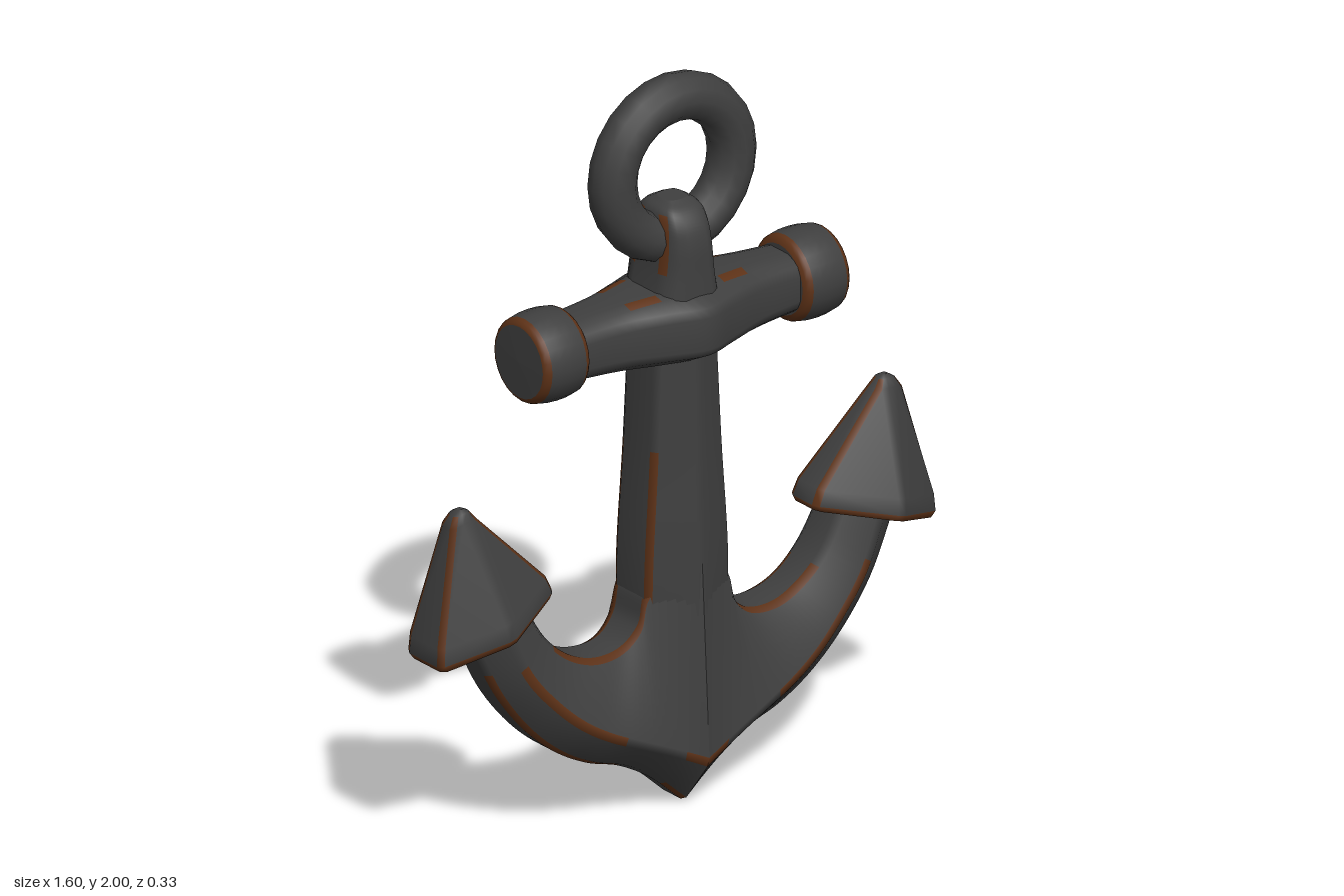
import * as THREE from 'three';

const iron = new THREE.MeshStandardMaterial({ color: 0x3f3f3f });
iron.name = 'dark iron';
const rust = new THREE.MeshStandardMaterial({ color: 0x5e3217 });
rust.name = 'rust';

// Lofts a closed section whose corners follow rails. Each corner is bevelled,
// and paint(corner, t) tells where the bevel is rusty; band(t) rusts a whole ring.
function loft(name, rails, { steps = 24, bevel = 0.015, smooth = true, paint = () => false, band = () => false }) {
  const curves = rails.map((r) => {
    const pts = r.map((p) => new THREE.Vector3(...p));
    return smooth ? new THREE.CatmullRomCurve3(pts, false, 'centripetal') : pts;
  });
  const n = smooth ? steps : rails[0].length - 1;
  const c = rails.length, m = c * 2;
  const pos = [], plain = [], rusty = [];
  for (let i = 0; i <= n; i++) {
    const corners = curves.map((q) => (smooth ? q.getPoint(i / n) : q[i]));
    corners.forEach((p, k) => {
      for (const q of [corners[(k + c - 1) % c], corners[(k + 1) % c]]) {
        const len = p.distanceTo(q);
        pos.push(...p.clone().lerp(q, Math.min(bevel / Math.max(len, 1e-6), 0.3)).toArray());
      }
    });
  }
  for (let i = 0; i < n; i++) {
    const t = (i + 0.5) / n;
    for (let j = 0; j < m; j++) {
      const a = i * m + j, b = i * m + (j + 1) % m;
      const corner = j % 2 === 0 && paint(j / 2, t);
      (corner || band(t) ? rusty : plain).push(a, b, b + m, a, b + m, a + m);
    }
  }
  // end caps with their own vertices
  for (const i of [0, n]) {
    const base = pos.length / 3;
    const ring = pos.slice(i * m * 3, (i + 1) * m * 3);
    pos.push(...ring);
    for (let j = 1; j < m - 1; j++) {
      plain.push(base, base + (i ? j : j + 1), base + (i ? j + 1 : j));
    }
  }
  // turn faces outward
  const idx = plain.concat(rusty);
  const v = (k) => new THREE.Vector3().fromArray(pos, k * 3);
  let volume = 0;
  for (let k = 0; k < idx.length; k += 3) volume += v(idx[k]).dot(v(idx[k + 1]).cross(v(idx[k + 2])));
  if (volume < 0) for (let k = 0; k < idx.length; k += 3) [idx[k], idx[k + 1]] = [idx[k + 1], idx[k]];

  const g = new THREE.BufferGeometry();
  g.setAttribute('position', new THREE.Float32BufferAttribute(pos, 3));
  g.setIndex(idx);
  g.addGroup(0, plain.length, 0);
  if (rusty.length) g.addGroup(plain.length, rusty.length, 1);
  g.computeVertexNormals();
  const mesh = new THREE.Mesh(g, [iron, rust]);
  mesh.name = name;
  return mesh;
}

// Six rails from stations of [outer, ridge, inner] points, mirrored front to back
function hexRails(stations, side) {
  const rail = (k, z) => stations.map((s) => [s[k][0] * side, s[k][1], s[k][2] * z]);
  return [rail(0, 1), rail(1, 1), rail(2, 1), rail(2, -1), rail(1, -1), rail(0, -1)];
}

// Eight corners of a soft rectangle with half sizes a and b
const octagon = (a, b) => [
  [a, b * 0.55], [a * 0.6, b], [-a * 0.6, b], [-a, b * 0.55],
  [-a, -b * 0.55], [-a * 0.6, -b], [a * 0.6, -b], [a, -b * 0.55],
];

export function createModel() {
  const model = new THREE.Group();
  model.name = 'anchor';

  // Shank: tapered bar with a ridge front and back: [y, half width, edge z, ridge z]
  const shank = [[0.16, 0.05, 0.04, 0.12], [0.4, 0.12, 0.06, 0.134], [0.62, 0.134, 0.07, 0.131],
    [1.0, 0.113, 0.068, 0.12], [1.38, 0.095, 0.065, 0.11]];
  const corners = [[0, 1], [1, 1], [1, -1], [0, -1], [-1, -1], [-1, 1]];
  model.add(loft('shank', corners.map(([sx, sz]) =>
    shank.map(([y, w, e, r]) => [sx * w, y, sz * (sx ? e : r)])),
  { bevel: 0.014, paint: (k, t) => k % 3 !== 0 && t > 0.42 && t < 0.76 }));

  // Eye on top of the shank: [y, half width, half depth]
  const eye = [[1.38, 0.102, 0.115], [1.48, 0.083, 0.112], [1.56, 0.074, 0.109],
    [1.61, 0.07, 0.096], [1.645, 0.061, 0.07], [1.665, 0.035, 0.035]];
  model.add(loft('eye', octagon(1, 1).map((_, k) =>
    eye.map(([y, a, b]) => { const p = octagon(a, b)[k]; return [p[0], y, p[1]]; })),
  { paint: (k, t) => k % 4 % 3 === 0 && t > 0.2 && t < 0.75 }));

  // Ring through the eye
  const ring = new THREE.Mesh(new THREE.TorusGeometry(0.192, 0.064, 12, 24), iron);
  ring.name = 'ring';
  ring.position.y = 1.744;
  model.add(ring);

  // Stock: crossbar swelling at the middle: [x, half height, half depth]
  const stock = [[-0.38, 0.078, 0.085], [-0.22, 0.088, 0.1], [-0.1, 0.096, 0.135], [0, 0.098, 0.165],
    [0.1, 0.096, 0.135], [0.22, 0.088, 0.1], [0.38, 0.078, 0.085]];
  model.add(loft('stock', octagon(1, 1).map((_, k) =>
    stock.map(([x, a, b]) => { const p = octagon(a, b)[k]; return [x, 1.337 + p[0], p[1]]; })),
  { bevel: 0.015,
    paint: (k, t) => (k === 3 || k === 4 ? t > 0.33 && t < 0.67
      : k % 7 === 0 && Math.abs(t - 0.5) > 0.17 && Math.abs(t - 0.5) < 0.3) }));

  // Knobs at the stock ends, with rusty rims
  const knobParts = [
    ['knob', iron, [[0, -0.075], [0.096, -0.074]]],
    ['knobInnerRim', rust, [[0.096, -0.074], [0.107, -0.07], [0.114, -0.062], [0.117, -0.054]]],
    ['knobBody', iron, [[0.117, -0.054], [0.121, -0.03], [0.122, 0], [0.12, 0.03], [0.115, 0.055]]],
    ['knobOuterRim', rust, [[0.115, 0.055], [0.111, 0.064], [0.104, 0.071], [0.098, 0.073]]],
    ['knobFace', iron, [[0.098, 0.073], [0, 0.076]]],
  ];
  for (const side of [1, -1]) {
    const knob = new THREE.Group();
    knob.name = side > 0 ? 'leftKnob' : 'rightKnob';
    for (const [name, mat, pts] of knobParts) {
      const mesh = new THREE.Mesh(new THREE.LatheGeometry(pts.map((p) => new THREE.Vector2(...p)), 24), mat);
      mesh.name = name;
      knob.add(mesh);
    }
    knob.rotation.z = -side * Math.PI / 2;
    knob.position.set(side * 0.419, 1.335, 0);
    model.add(knob);
  }

  // Curved arms and pointed flukes: stations of [outer, ridge, inner]
  const arm = [
    [[0, 0, 0.05], [0, 0.14, 0.155], [0, 0.7, 0.124]],
    [[0.1, 0.088, 0.05], [0.1, 0.19, 0.15], [0.125, 0.62, 0.068]],
    [[0.2, 0.147, 0.05], [0.2, 0.235, 0.143], [0.15, 0.53, 0.065]],
    [[0.3, 0.182, 0.05], [0.295, 0.28, 0.135], [0.2, 0.482, 0.06]],
    [[0.4, 0.238, 0.05], [0.38, 0.335, 0.127], [0.28, 0.473, 0.06]],
    [[0.5, 0.325, 0.05], [0.46, 0.41, 0.118], [0.36, 0.5, 0.055]],
    [[0.6, 0.455, 0.05], [0.54, 0.51, 0.11], [0.44, 0.57, 0.055]],
    [[0.69, 0.64, 0.045], [0.61, 0.67, 0.1], [0.52, 0.71, 0.05]],
  ];
  const fluke = [
    [[0.765, 0.577, 0.055], [0.62, 0.635, 0.135], [0.45, 0.682, 0.04]],
    [[0.788, 0.575, 0.066], [0.622, 0.637, 0.148], [0.426, 0.685, 0.05]],
    [[0.8, 0.592, 0.07], [0.625, 0.653, 0.155], [0.419, 0.701, 0.052]],
    [[0.797, 0.64, 0.067], [0.632, 0.695, 0.145], [0.437, 0.74, 0.05]],
    [[0.727, 0.94, 0.028], [0.685, 0.955, 0.035], [0.642, 0.95, 0.025]],
    [[0.71, 0.968, 0.018], [0.683, 0.975, 0.022], [0.66, 0.973, 0.016]],
    [[0.692, 0.98, 0.006], [0.683, 0.982, 0.008], [0.675, 0.981, 0.006]],
  ];
  for (const side of [1, -1]) {
    const label = side > 0 ? 'left' : 'right';
    model.add(loft(label + 'Arm', hexRails(arm, side), {
      steps: 42,
      paint: (k, t) => (k === 1 || k === 4 ? t < 0.1 || (t > 0.36 && t < 0.88)
        : k === 2 || k === 3 ? t > 0.15 && t < 0.8 : t < 0.1 || (t > 0.3 && t < 0.9)),
    }));
    model.add(loft(label + 'Fluke', hexRails(fluke, side), {
      smooth: false,
      bevel: 0.013,
      paint: (k, t) => k % 3 !== 1 && t > 0.3 && t < 0.85,
      band: (t) => t > 0.17 && t < 0.33,
    }));
  }
  return model;
}
